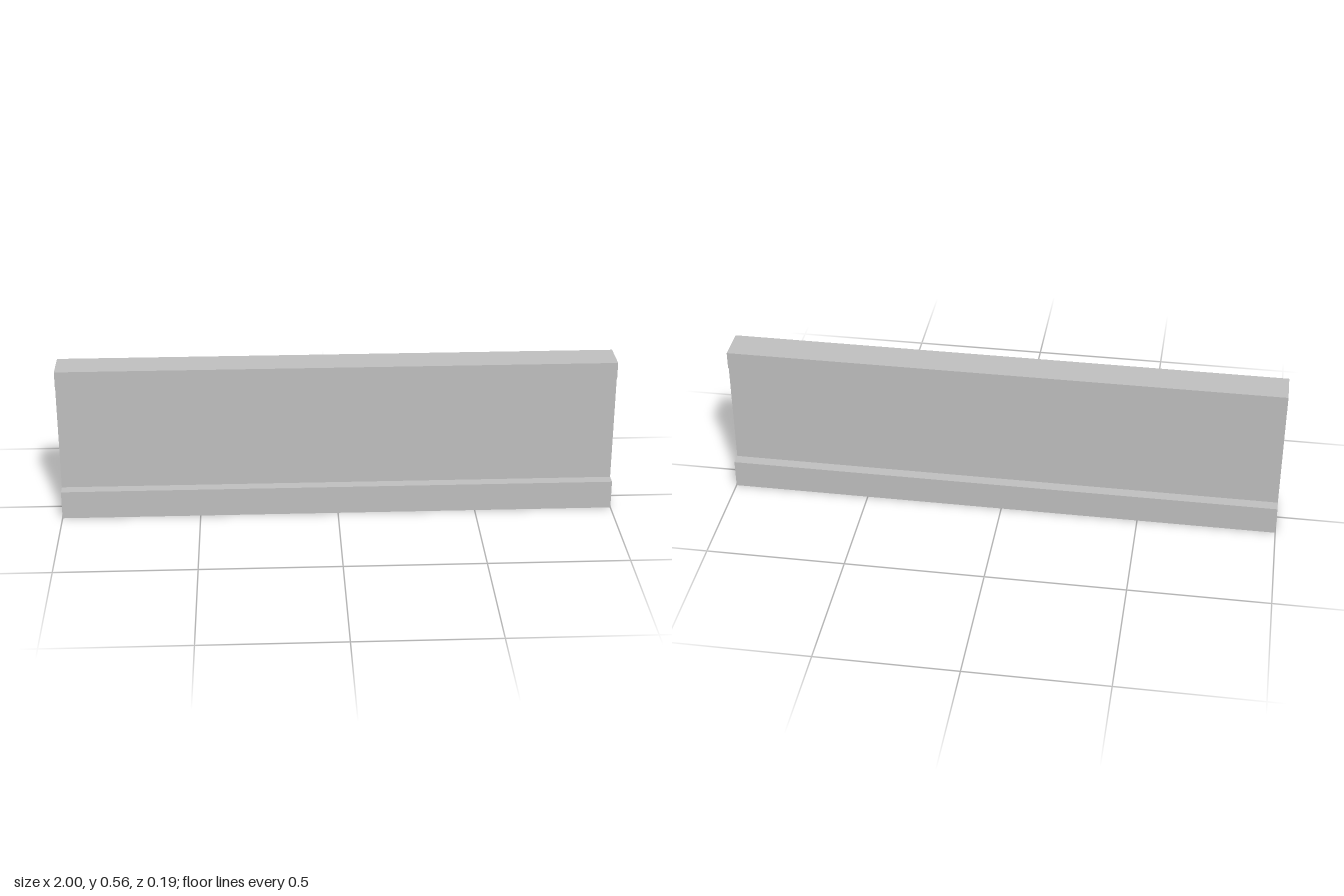
import * as THREE from 'three';

export function createModel() {
  const group = new THREE.Group();
  group.name = 'barrierWall';
  const concrete = new THREE.MeshStandardMaterial({ color: 0xc0c0c0 });
  concrete.name = 'concrete grey';

  // Half profile (half depth, height): wide plinth, slim panel, coping
  const half = [
    [0.096, 0], [0.096, 0.105],
    [0.055, 0.105], [0.055, 0.496],
    [0.062, 0.496], [0.062, 0.56],
  ];
  const mirrored = half.map(([z, y]) => [-z, y]).reverse();
  const profile = new THREE.Shape([...half, ...mirrored].map(([z, y]) => new THREE.Vector2(z, y)));

  // Run the profile along the full length of the wall
  const length = 2;
  const geometry = new THREE.ExtrudeGeometry(profile, { depth: length, bevelEnabled: false });
  geometry.translate(0, 0, -length / 2);
  geometry.rotateY(Math.PI / 2);

  const wall = new THREE.Mesh(geometry, concrete);
  wall.name = 'wallWithPlinthAndCoping';
  group.add(wall);
  return group;
}
